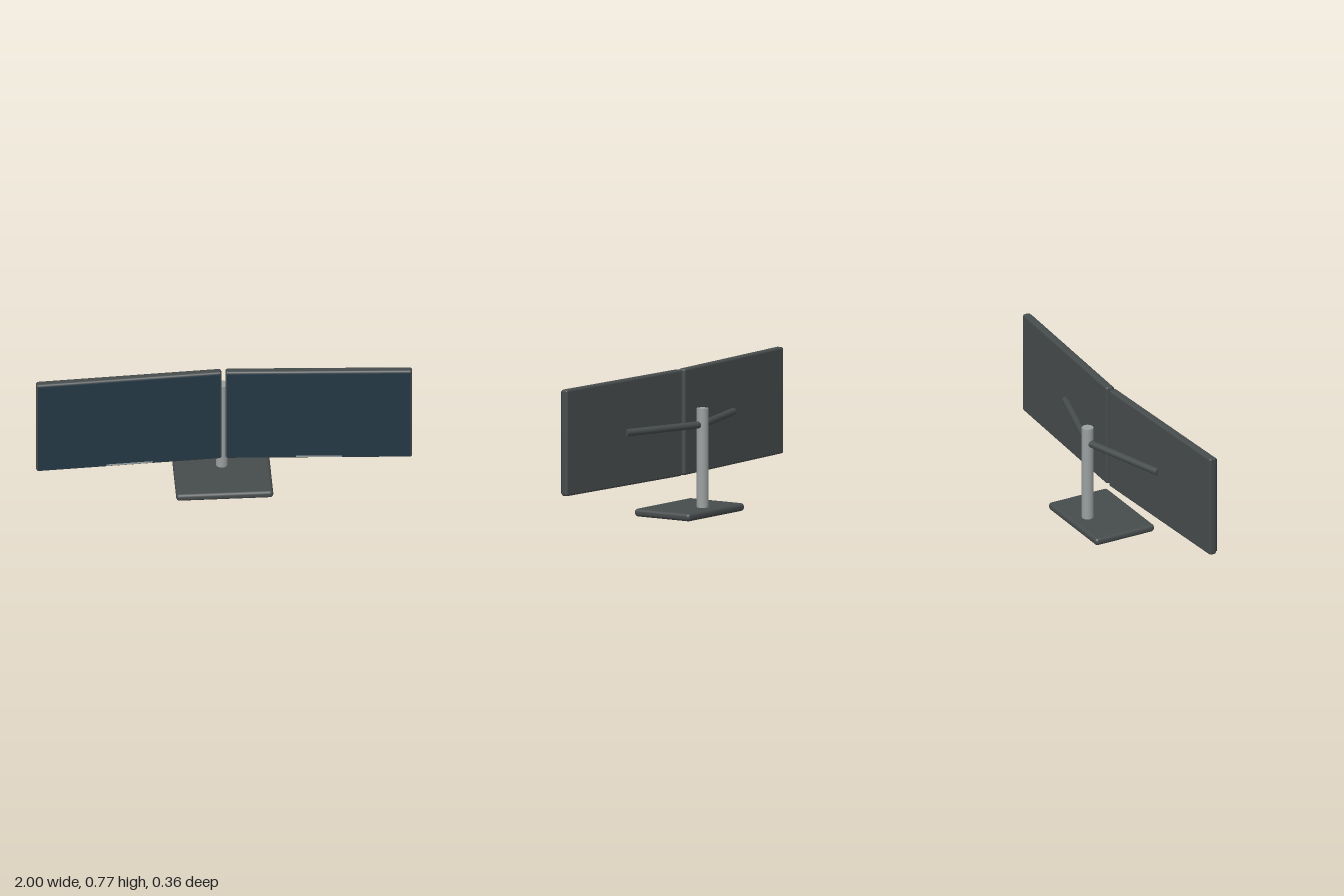
import * as THREE from 'three';
import { RoundedBoxGeometry } from 'three/addons/geometries/RoundedBoxGeometry.js';

function material(name, color) {
  const m = new THREE.MeshStandardMaterial({ color });
  m.name = name;
  return m;
}

export function createModel() {
  const model = new THREE.Group();
  model.name = 'dualMonitorStand';

  const casing = material('dark grey casing', 0x464b4b);
  const metal = material('brushed metal', 0x9a9fa0);
  const glass = material('dark blue glass', 0x243845);

  const add = (parent, name, geometry, mat, x, y, z) => {
    const mesh = new THREE.Mesh(geometry, mat);
    mesh.name = name;
    mesh.position.set(x, y, z);
    parent.add(mesh);
    return mesh;
  };

  // Foot plate and post
  add(model, 'base', new RoundedBoxGeometry(0.516, 0.042, 0.36, 4, 0.018), casing, 0, 0.021, 0);
  add(model, 'post', new THREE.CylinderGeometry(0.031, 0.031, 0.538, 24), metal, 0, 0.304, -0.085);

  const up = new THREE.Vector3(0, 1, 0);
  for (const side of [1, -1]) {
    const label = side > 0 ? 'left' : 'right';

    // Display, its outer edge turned towards the viewer
    const monitor = new THREE.Group();
    monitor.name = label + 'Monitor';
    monitor.position.set(side * 0.505, 0.485, 0.085);
    monitor.rotation.y = -side * 0.0535;
    model.add(monitor);
    add(monitor, 'housing', new RoundedBoxGeometry(0.99, 0.57, 0.043, 3, 0.012), casing, 0, 0, 0);
    add(monitor, 'screen', new THREE.BoxGeometry(0.972, 0.546, 0.008), glass, 0, 0, 0.0235);
    add(monitor, 'chinStrip', new THREE.BoxGeometry(0.245, 0.01, 0.006), metal, 0, -0.268, 0.0255);

    // Arm from the post to the back of the display
    const start = new THREE.Vector3(0, 0.485, -0.085);
    const end = new THREE.Vector3(side * 0.495, 0.485, 0.063);
    const span = end.clone().sub(start);
    const mid = start.clone().add(end).multiplyScalar(0.5);
    const arm = add(model, label + 'Arm', new THREE.CylinderGeometry(0.0195, 0.0195, span.length(), 16),
      casing, mid.x, mid.y, mid.z);
    arm.quaternion.setFromUnitVectors(up, span.normalize());
  }
  return model;
}
